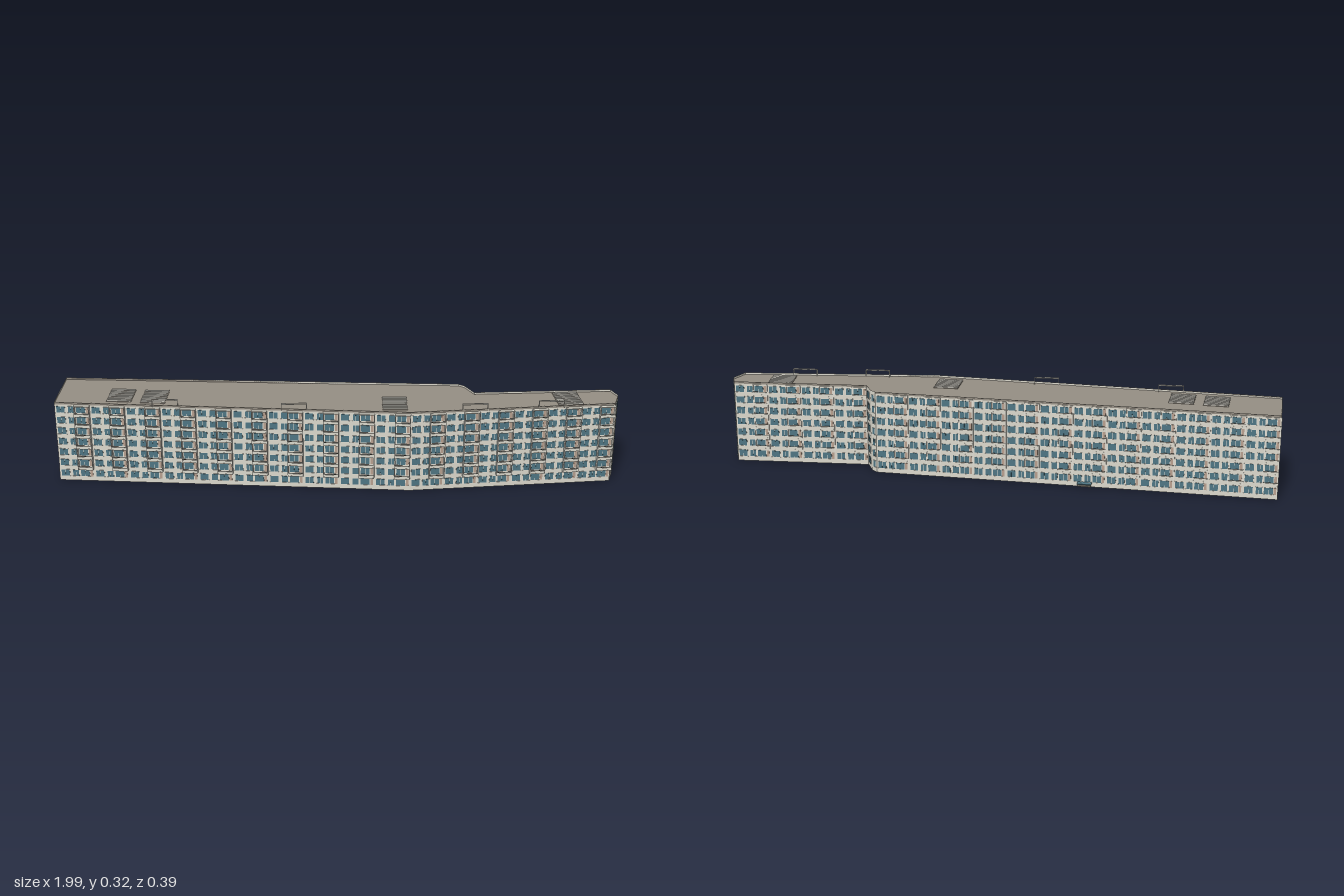
import * as THREE from 'three';
import { mergeGeometries } from 'three/addons/utils/BufferGeometryUtils.js';

const FLOORS = 7, PITCH = 0.0412, FIRST = 0.03, DECK = 0.297, TOP = 0.304;

const mat = (name, color, side = THREE.FrontSide) => {
  const m = new THREE.MeshStandardMaterial({ color, side });
  m.name = name;
  return m;
};

function box(w, h, d, x, y, z) {
  return new THREE.BoxGeometry(w, h, d).translate(x, y, z);
}

// Open ring of upright walls around a plan of [x, z] points
function ring(points, y0, y1) {
  const pos = [];
  points.forEach(([ax, az], i) => {
    const [bx, bz] = points[(i + 1) % points.length];
    pos.push(ax, y0, az, bx, y0, bz, bx, y1, bz, ax, y0, az, bx, y1, bz, ax, y1, az);
  });
  const g = new THREE.BufferGeometry();
  g.setAttribute('position', new THREE.Float32BufferAttribute(pos, 3));
  g.computeVertexNormals();
  return g;
}

// Flat deck over a plan
function deck(points, y) {
  const shape = new THREE.Shape(points.map(([x, z]) => new THREE.Vector2(x, -z)));
  return new THREE.ShapeGeometry(shape).rotateX(-Math.PI / 2).translate(0, y, 0);
}

export function createModel() {
  const model = new THREE.Group();
  model.name = 'apartmentBlock';
  const wall = mat('paleWall', 0xdddace, THREE.DoubleSide);
  const roof = mat('taupeRoof', 0x968f84, THREE.DoubleSide);
  const glass = mat('blueGlass', 0x4f7684);
  const trim = mat('lightTrim', 0xe4e1d7);
  const tan = mat('tanPanel', 0xb8a08f);
  const dark = mat('darkMetal', 0x55534d);

  const add = (parent, name, geometries, material) => {
    if (!geometries.length) return;
    const mesh = new THREE.Mesh(mergeGeometries(geometries), material);
    mesh.name = name;
    parent.add(mesh);
  };

  // Bent plan of the block, anticlockwise seen from above
  const frontLeft = [-0.995, 0.032], frontBend = [0.25, 0.176], frontRight = [0.972, 0.132];
  const endMid = [0.997, 0.063], endBack = [0.98, 0.012];
  const notchIn = [0.49, 0.016], notchOut = [0.463, -0.045];
  const backRight = [0.443, -0.063], backLeft = [-0.978, -0.19];
  const outline = [frontLeft, frontBend, frontRight, endMid, endBack, notchIn, notchOut, backRight, backLeft];
  const slot = [[-0.984, -0.108], [-0.935, -0.104], [-0.935, -0.073], [-0.987, -0.073]];

  // Hollow shell, open underneath, with a sunken deck behind the parapet
  add(model, 'walls', [ring([...outline, ...slot], 0, DECK)], wall);
  add(model, 'parapet', [ring(outline, DECK, TOP)], wall);
  add(model, 'roofDeck', [deck(outline, DECK)], roof);

  // Group along a wall: local x runs left to right seen from outside, z points out
  const facade = (name, a, b) => {
    const group = new THREE.Group();
    group.name = name;
    group.position.set(a[0], 0, a[1]);
    group.rotation.y = Math.atan2(-(b[1] - a[1]), b[0] - a[0]);
    model.add(group);
    return { group, length: Math.hypot(b[0] - a[0], b[1] - a[1]), glass: [], trim: [], tan: [], dark: [], wall: [], roof: [] };
  };
  const finish = (f) => {
    add(f.group, 'windowPanes', f.glass, glass);
    add(f.group, 'windowFrames', f.trim, trim);
    add(f.group, 'infillPanels', f.tan, tan);
    add(f.group, 'railings', f.dark, dark);
    add(f.group, 'balconySlabs', f.wall, wall);
    add(f.group, 'copings', f.roof, roof);
  };

  // Two-pane window with a slim frame and sill
  const addWindow = (f, x, y, w) => {
    const h = 0.0235;
    f.trim.push(box(w + 0.002, h + 0.002, 0.001, x, y, 0.0005));
    f.trim.push(box(w + 0.004, 0.0012, 0.002, x, y - h / 2 - 0.001, 0.001));
    for (const s of [-1, 1]) f.glass.push(box(w / 2 - 0.001, h, 0.001, x + s * w / 4, y, 0.0011));
  };

  // Stack of balconies on the floors above the ground
  const addBalconies = (f, x, w, depth) => {
    for (const s of [-1, 1]) {
      f.trim.push(box(0.003, 0.247, depth, x + s * w / 2, 0.1715, depth / 2));
    }
    for (let i = 1; i < FLOORS; i++) {
      const floorY = FIRST + i * PITCH - 0.0215;
      f.wall.push(box(w, 0.003, depth, x, floorY, depth / 2));
      f.wall.push(box(w - 0.003, 0.008, 0.0015, x, floorY + 0.0055, depth - 0.001));
      f.dark.push(box(w, 0.0012, 0.002, x, floorY + 0.0115, depth - 0.0005));
    }
    f.wall.push(box(w, 0.003, depth, x, 0.2945, depth / 2));
  };

  // Long walls: each bay holds two windows and a balcony stack
  const longWall = (name, a, b, bays, depth) => {
    const f = facade(name, a, b), bay = f.length / bays;
    for (let i = 0; i < bays; i++) {
      const at = (t) => (i + t) * bay;
      for (let k = 0; k < FLOORS; k++) {
        const y = FIRST + k * PITCH;
        addWindow(f, at(0.17), y, 0.03);
        addWindow(f, at(0.47), y, 0.022);
        addWindow(f, at(0.74), y, 0.032);
        f.tan.push(box(0.009, 0.0245, 0.0012, at(0.925), y, 0.0006));
      }
      addBalconies(f, at(0.78), 0.052, depth);
    }
    f.roof.push(box(f.length, 0.007, 0.002, f.length / 2, 0.3, 0.001));
    finish(f);
  };
  longWall('frontLeftFacade', frontLeft, frontBend, 10, 0.015);
  longWall('frontRightFacade', frontBend, frontRight, 6, 0.015);
  longWall('backLongFacade', backRight, backLeft, 12, 0.004);
  longWall('backShortFacade', endBack, notchIn, 4, 0.004);

  // Faceted right end and the notch: one window per floor
  const narrowWall = (name, a, b, t, w) => {
    const f = facade(name, a, b);
    for (let k = 0; k < FLOORS; k++) addWindow(f, f.length * t, FIRST + k * PITCH, w);
    finish(f);
  };
  narrowWall('rightEndFront', frontRight, endMid, 0.64, 0.03);
  narrowWall('rightEndBack', endMid, endBack, 0.5, 0.029);
  narrowWall('notchWall', notchIn, notchOut, 0.44, 0.03);
  narrowWall('notchCorner', notchOut, backRight, 0.5, 0.013);

  // Left end: taupe plinth and floor joints either side of the slot
  const left = facade('leftEnd', backLeft, frontLeft);
  for (const [from, to] of [[0, 0.081], [0.118, left.length]]) {
    const w = to - from, x = (from + to) / 2;
    left.roof.push(box(w, 0.045, 0.001, x, 0.0225, 0.0005));
    for (let k = 1; k < FLOORS; k++) {
      left.dark.push(box(w, 0.001, 0.001, x, FIRST + k * PITCH - 0.0215, 0.0007));
    }
  }
  for (let k = 1; k < FLOORS; k++) {
    left.roof.push(box(0.034, 0.003, 0.03, 0.0995, FIRST + k * PITCH - 0.0215, -0.028));
  }
  finish(left);

  // Slatted roof vents, kept below the parapet
  for (const [x, z, turn] of [[-0.765, -0.03, -0.1], [-0.645, -0.013, -0.1], [0.2, 0.085, -0.05], [0.815, 0.073, 0.05]]) {
    const vent = new THREE.Group();
    vent.name = 'roofVent';
    vent.position.set(x, DECK, z);
    vent.rotation.y = turn;
    const slats = [];
    for (let i = 0; i < 8; i++) slats.push(box(0.086, 0.003, 0.006, 0, 0.0035, -0.049 + i * 0.014));
    add(vent, 'ventSlats', slats, trim);
    add(vent, 'ventBase', [box(0.088, 0.002, 0.108, 0, 0.001, 0)], roof);
    model.add(vent);
  }

  // Open frames along the front roof edge
  for (const [x, z] of [[-0.605, 0.073], [-0.155, 0.125], [0.475, 0.158], [0.745, 0.143]]) {
    const frame = new THREE.Group();
    frame.name = 'roofFrame';
    frame.position.set(x, DECK, z);
    const bars = [];
    for (const dz of [-0.005, 0.005]) {
      bars.push(box(0.09, 0.002, 0.002, 0, 0.024, dz));
      for (const dx of [-0.044, 0.044]) bars.push(box(0.002, 0.025, 0.002, dx, 0.0125, dz));
    }
    for (const dx of [-0.044, 0.044]) bars.push(box(0.002, 0.002, 0.01, dx, 0.024, 0));
    add(frame, 'frameBars', bars, trim);
    model.add(frame);
  }

  // Small glazed canopy and step at the rear entrance
  const entrance = new THREE.Group();
  entrance.name = 'rearEntrance';
  entrance.position.set(-0.312, 0, -0.143);
  entrance.rotation.y = -0.09;
  add(entrance, 'entranceCanopy', [box(0.05, 0.003, 0.026, 0, 0.016, 0)], glass);
  add(entrance, 'entranceStep', [box(0.046, 0.003, 0.022, 0, 0.0085, 0)], roof);
  model.add(entrance);

  return model;
}
